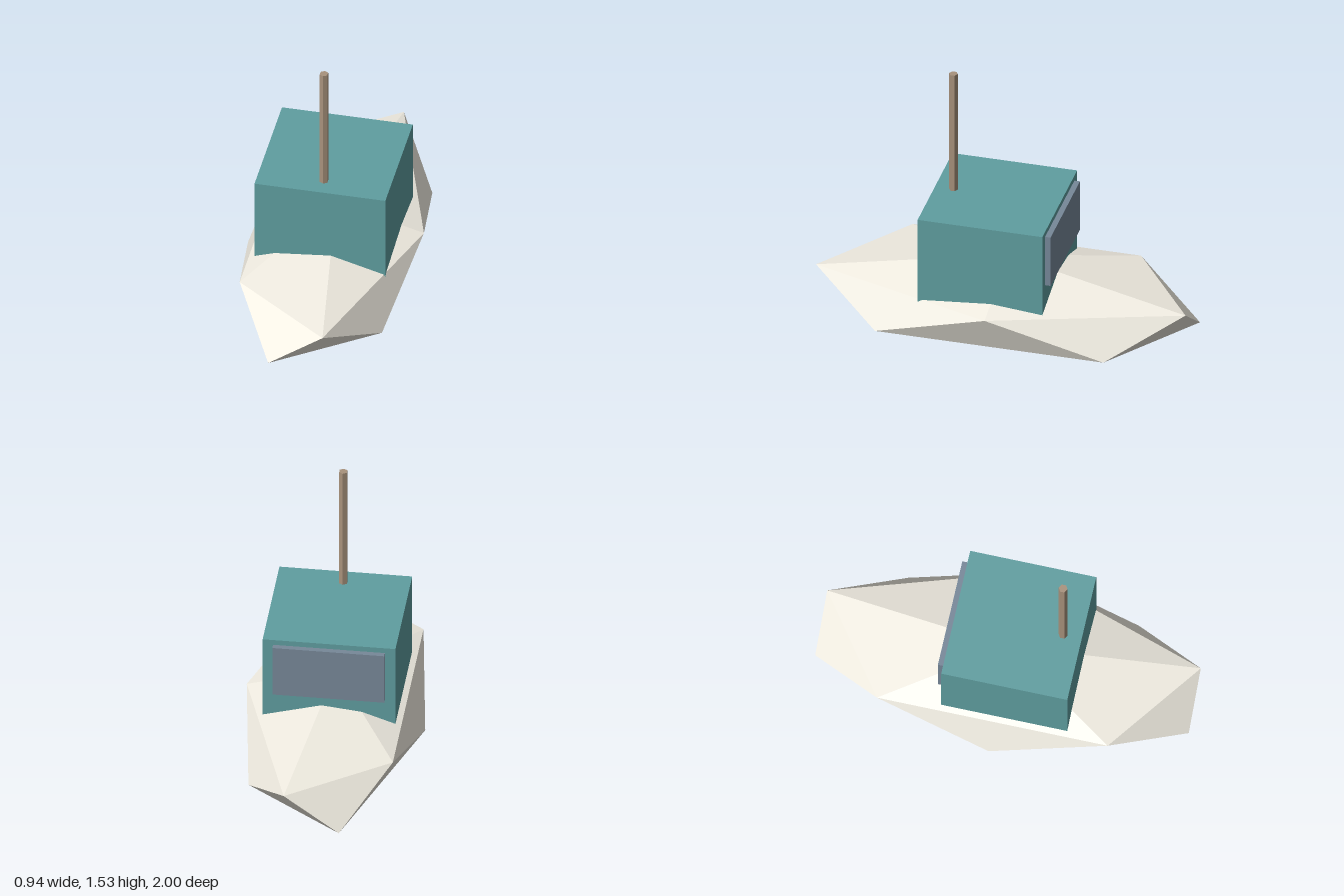
import * as THREE from 'three';
import { ConvexGeometry } from 'three/addons/geometries/ConvexGeometry.js';

const paint = (color) => new THREE.MeshStandardMaterial({ color, flatShading: true });

function add(group, name, geometry, color, x = 0, y = 0, z = 0) {
  const mesh = new THREE.Mesh(geometry, paint(color));
  mesh.name = name;
  mesh.position.set(x, y, z);
  group.add(mesh);
  return mesh;
}

// Stretched twenty-sided hull: two staggered five-point rings between two tips
function hullGeometry() {
  const points = [new THREE.Vector3(0, 0, 0), new THREE.Vector3(0, 0.47, 0)];
  for (let i = 0; i < 5; i++) {
    const a = (i / 5) * Math.PI * 2;
    const x = 0.4705 * Math.cos(a);
    const z = 1.0515 * Math.sin(a);
    points.push(new THREE.Vector3(x, 0.34, z), new THREE.Vector3(-x, 0.13, -z));
  }
  return new ConvexGeometry(points);
}

export function createModel() {
  const boat = new THREE.Group();
  boat.name = 'boat';

  add(boat, 'hull', hullGeometry(), 0xefebe0);

  // Cabin sunk into the deck
  add(boat, 'cabin', new THREE.BoxGeometry(0.7, 0.525, 0.675), 0x5f9ea0, 0, 0.5625, 0.0575);

  // Window panel on the back wall of the cabin
  add(boat, 'rearWindow', new THREE.BoxGeometry(0.59, 0.295, 0.05), 0x778899, 0, 0.6475, -0.285);

  // Six-sided mast through the cabin roof
  add(boat, 'mast', new THREE.CylinderGeometry(0.0235, 0.0235, 0.73, 6), 0xa8927c, 0, 1.165, 0.295);

  return boat;
}
